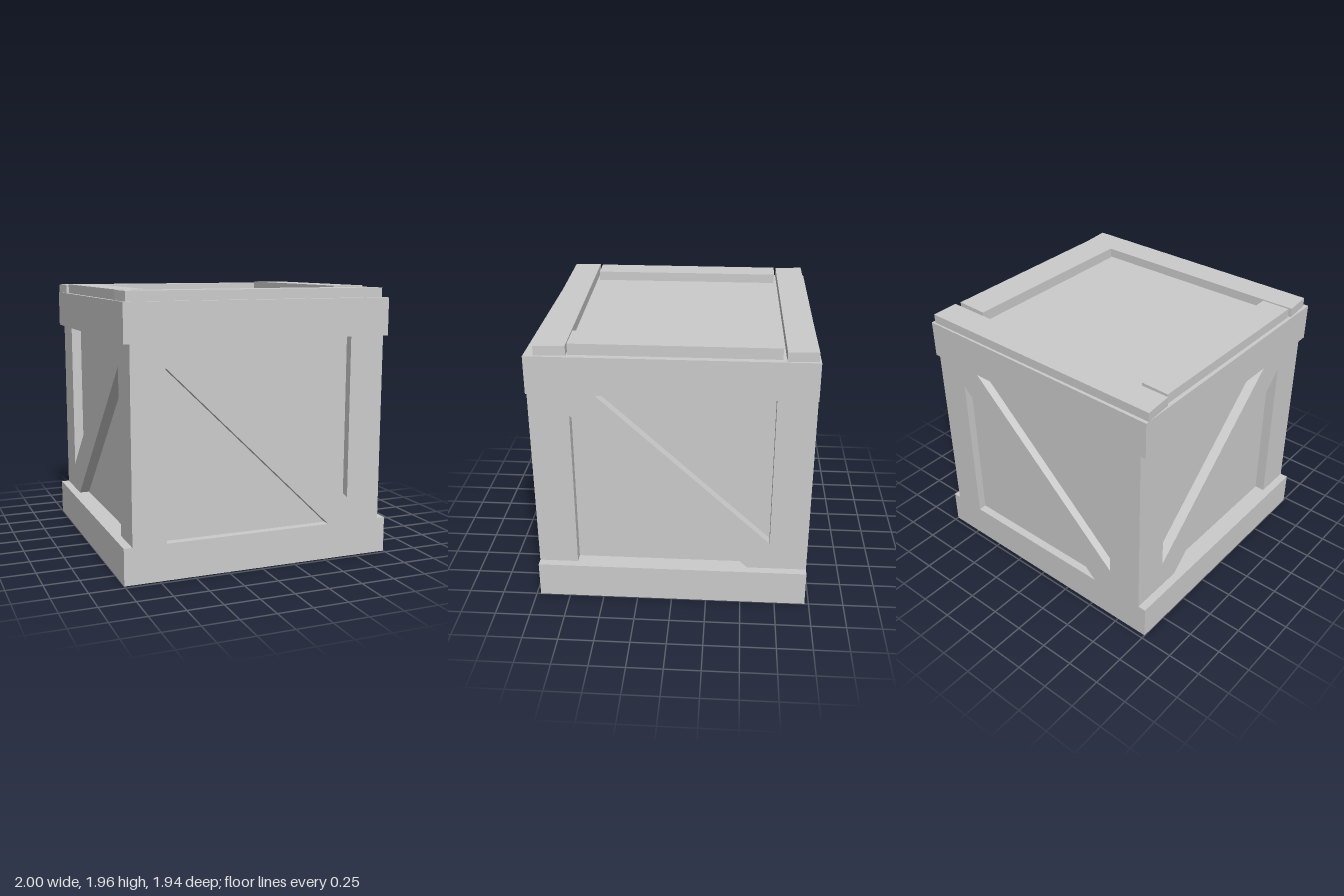
import * as THREE from 'three';

const LID = 1.88;                       // height of the crate body
const RAIL_LOW = 0.26, RAIL_HIGH = 1.61; // inner edges of the rails
const CORE_X = 0.865, CORE_Z = 0.91;    // recessed panel planes

export function createModel() {
  const crate = new THREE.Group();
  crate.name = 'crate';
  const material = new THREE.MeshStandardMaterial({ color: 0xcccccc, flatShading: true });

  const add = (name, geometry) => {
    const mesh = new THREE.Mesh(geometry, material);
    mesh.name = name;
    crate.add(mesh);
    return mesh;
  };
  const box = (name, w, h, d, x, y, z) =>
    add(name, new THREE.BoxGeometry(w, h, d)).position.set(x, y, z);
  const toPoints = (list) => list.map(([x, y]) => new THREE.Vector2(x, y));

  // Frame plate with two triangular openings that leave a diagonal brace
  const frame = (outline, holes, depth) => {
    const shape = new THREE.Shape(toPoints(outline));
    holes.forEach((hole) => shape.holes.push(new THREE.Path(toPoints(hole))));
    return new THREE.ExtrudeGeometry(shape, { depth, bevelEnabled: false });
  };

  // Panels behind the frames
  box('corePanels', CORE_X * 2, LID, CORE_Z * 2, 0, LID / 2, 0);

  // Front and back frames: rails wider than the posts
  const endOutline = [
    [-1, 0], [1, 0], [1, RAIL_LOW], [0.94, RAIL_LOW], [0.94, RAIL_HIGH], [0.98, RAIL_HIGH],
    [0.98, LID], [-0.98, LID], [-0.98, RAIL_HIGH], [-0.94, RAIL_HIGH], [-0.94, RAIL_LOW], [-1, RAIL_LOW],
  ];
  const endHoles = [
    [[-0.7, RAIL_LOW], [0.53, RAIL_LOW], [-0.7, 1.45]],
    [[0.68, 0.445], [0.68, RAIL_HIGH], [-0.545, RAIL_HIGH]],
  ];
  for (const [name, sign] of [['frontFrame', 1], ['backFrame', -1]]) {
    const end = add(name, frame(endOutline, endHoles, 0.06));
    end.position.z = sign * CORE_Z;
    end.rotation.y = sign > 0 ? 0 : Math.PI;
  }

  // Side frames, braces running from top front to bottom back on both sides
  const sideOutline = [[-CORE_Z, 0], [CORE_Z, 0], [CORE_Z, LID], [-CORE_Z, LID]];
  const sideHoles = [
    [[-0.69, RAIL_LOW], [0.545, RAIL_LOW], [-0.69, 1.44]],
    [[0.7, 0.47], [0.7, RAIL_HIGH], [-0.53, RAIL_HIGH]],
  ];
  for (const [name, sign] of [['left', 1], ['right', -1]]) {
    const holes = sideHoles.map((hole) => hole.map(([u, y]) => [u * sign, y]));
    const side = add(name + 'Frame', frame(sideOutline, holes, 0.075));
    side.position.x = sign * CORE_X;
    side.rotation.y = sign * Math.PI / 2;

    // Rails standing proud of the side frame
    box(name + 'BottomRail', 0.06, RAIL_LOW, CORE_Z * 2, sign * 0.97, RAIL_LOW / 2, 0);
    box(name + 'TopRail', 0.04, LID - RAIL_HIGH, CORE_Z * 2, sign * 0.96, (LID + RAIL_HIGH) / 2, 0);
  }

  // Slightly crooked boards on the lid: corners as [x, z], then thickness
  const boards = [
    ['lidBackBoard', [[-0.98, -0.945], [0.96, -0.955], [0.965, -0.75], [-0.965, -0.735]], 0.065],
    ['lidFrontBoard', [[-0.97, 0.735], [0.95, 0.69], [0.965, 0.9], [-0.955, 0.94]], 0.068],
    ['lidRightBoard', [[-0.95, -0.72], [-0.745, -0.715], [-0.745, 0.71], [-0.955, 0.715]], 0.07],
    ['lidLeftBoard', [[0.695, -0.73], [0.935, -0.725], [0.935, 0.68], [0.69, 0.685]], 0.078],
  ];
  for (const [name, corners, thickness] of boards) {
    const board = add(name, frame(corners.map(([x, z]) => [x, -z]), [], thickness));
    board.rotation.x = -Math.PI / 2;
    board.position.y = LID;
  }

  return crate;
}
